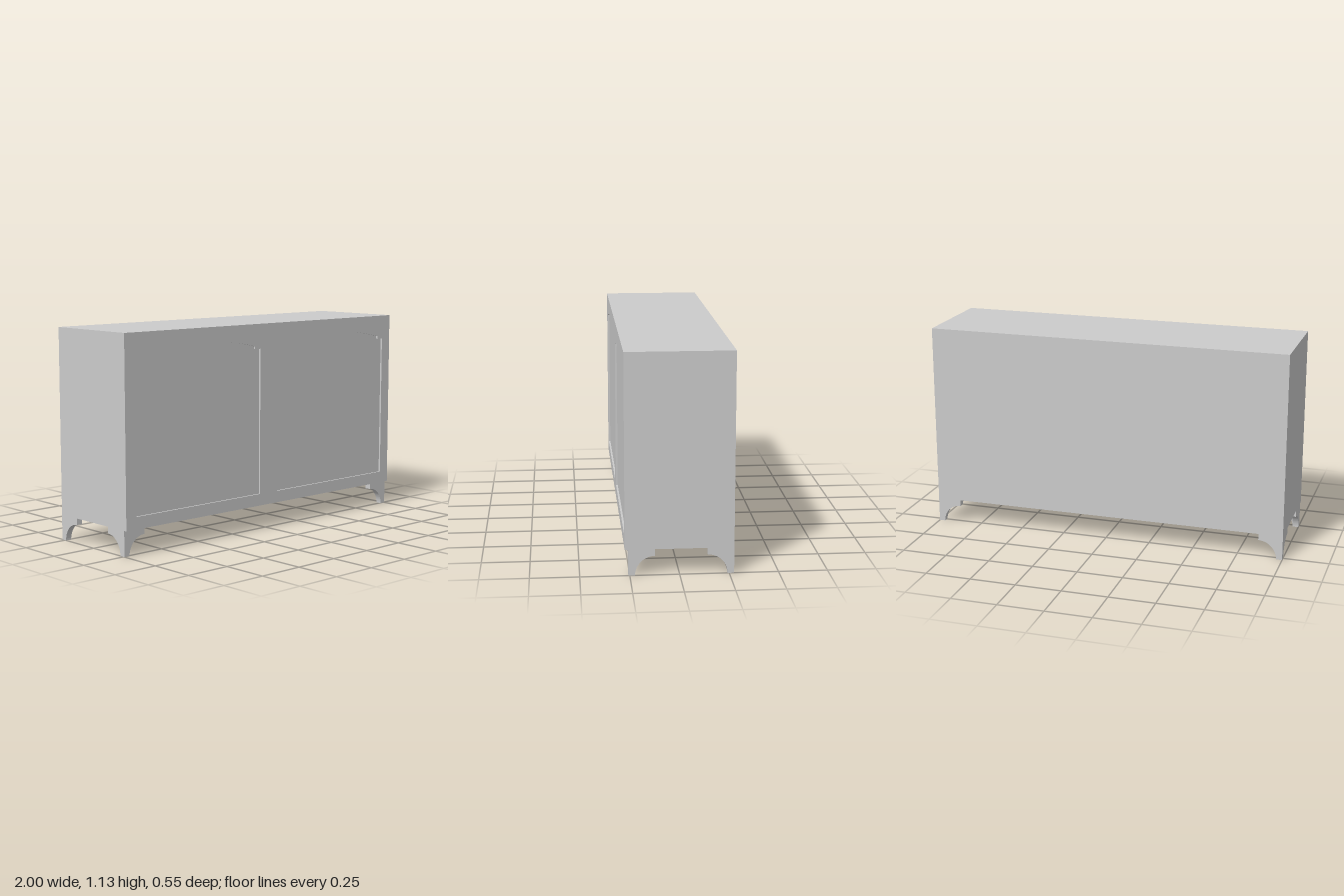
import * as THREE from 'three';
import { toCreasedNormals } from 'three/addons/utils/BufferGeometryUtils.js';

const BASE = 0.135, TOP = 1.135, BACK = -0.275, BODY_FRONT = 0.257, FRONT = 0.275;
const RECESS = 0.01;
const grey = new THREE.MeshStandardMaterial({ color: 0xcccccc });

function add(parent, name, geometry, x = 0, y = 0, z = 0) {
  const mesh = new THREE.Mesh(geometry, grey);
  mesh.name = name;
  mesh.position.set(x, y, z);
  parent.add(mesh);
  return mesh;
}

function extrude(shape, depth) {
  const geometry = new THREE.ExtrudeGeometry(shape, { depth, bevelEnabled: false, curveSegments: 20 });
  return toCreasedNormals(geometry, Math.PI / 6);
}

// Door one unit wide: a backing sheet and a frame with an arched opening
function createDoor(name) {
  const door = new THREE.Group();
  door.name = name;
  const height = TOP - BASE, backing = FRONT - BODY_FRONT - RECESS;
  add(door, 'doorPanel', new THREE.BoxGeometry(1, height, backing), 0, (BASE + TOP) / 2, BODY_FRONT + backing / 2);

  const frame = new THREE.Shape();
  frame.moveTo(-0.5, BASE).lineTo(0.5, BASE).lineTo(0.5, TOP).lineTo(-0.5, TOP).closePath();

  // Opening with a small shoulder on each side of a shallow arch
  const w = 0.435, a = 0.395, spring = 1.015, rise = 0.047;
  const radius = (a * a + rise * rise) / (2 * rise);
  const half = Math.asin(a / radius);
  const hole = new THREE.Path();
  hole.moveTo(-w, 0.2).lineTo(w, 0.2).lineTo(w, 1.0).lineTo(a, 1.0).lineTo(a, spring);
  hole.absarc(0, spring + rise - radius, radius, Math.PI / 2 - half, Math.PI / 2 + half, false);
  hole.lineTo(-a, 1.0).lineTo(-w, 1.0).closePath();
  frame.holes.push(hole);
  add(door, 'doorFrame', extrude(frame, RECESS), 0, 0, FRONT - RECESS);
  return door;
}

// Bracket foot: two scooped wings meeting at a square corner
function createFoot() {
  const foot = new THREE.Group();
  const t = 0.033, r = 0.1;
  const shape = new THREE.Shape();
  shape.moveTo(0, 0).lineTo(t, 0);
  shape.absarc(t + r, 0, r, Math.PI, Math.PI / 2, true);
  shape.lineTo(t + r, BASE).lineTo(0, BASE).closePath();
  const wing = extrude(shape, t);
  add(foot, 'footWing', wing);
  add(foot, 'footSideWing', wing, t, 0, 0).rotation.y = -Math.PI / 2;
  return foot;
}

export function createModel() {
  const cabinet = new THREE.Group();
  cabinet.name = 'sideboard';

  const depth = BODY_FRONT - BACK;
  add(cabinet, 'carcass', new THREE.BoxGeometry(2, TOP - BASE, depth), 0, (BASE + TOP) / 2, (BODY_FRONT + BACK) / 2);

  for (const [name, x] of [['rightDoor', -0.5], ['leftDoor', 0.5]]) {
    const door = createDoor(name);
    door.position.x = x;
    cabinet.add(door);
  }

  // Feet, turned a quarter at each corner
  const corners = [
    ['backRightFoot', -1, BACK], ['frontRightFoot', -1, BODY_FRONT],
    ['frontLeftFoot', 1, BODY_FRONT], ['backLeftFoot', 1, BACK],
  ];
  corners.forEach(([name, x, z], i) => {
    const foot = createFoot();
    foot.name = name;
    foot.position.set(x, 0, z);
    foot.rotation.y = i * Math.PI / 2;
    cabinet.add(foot);
  });
  return cabinet;
}
